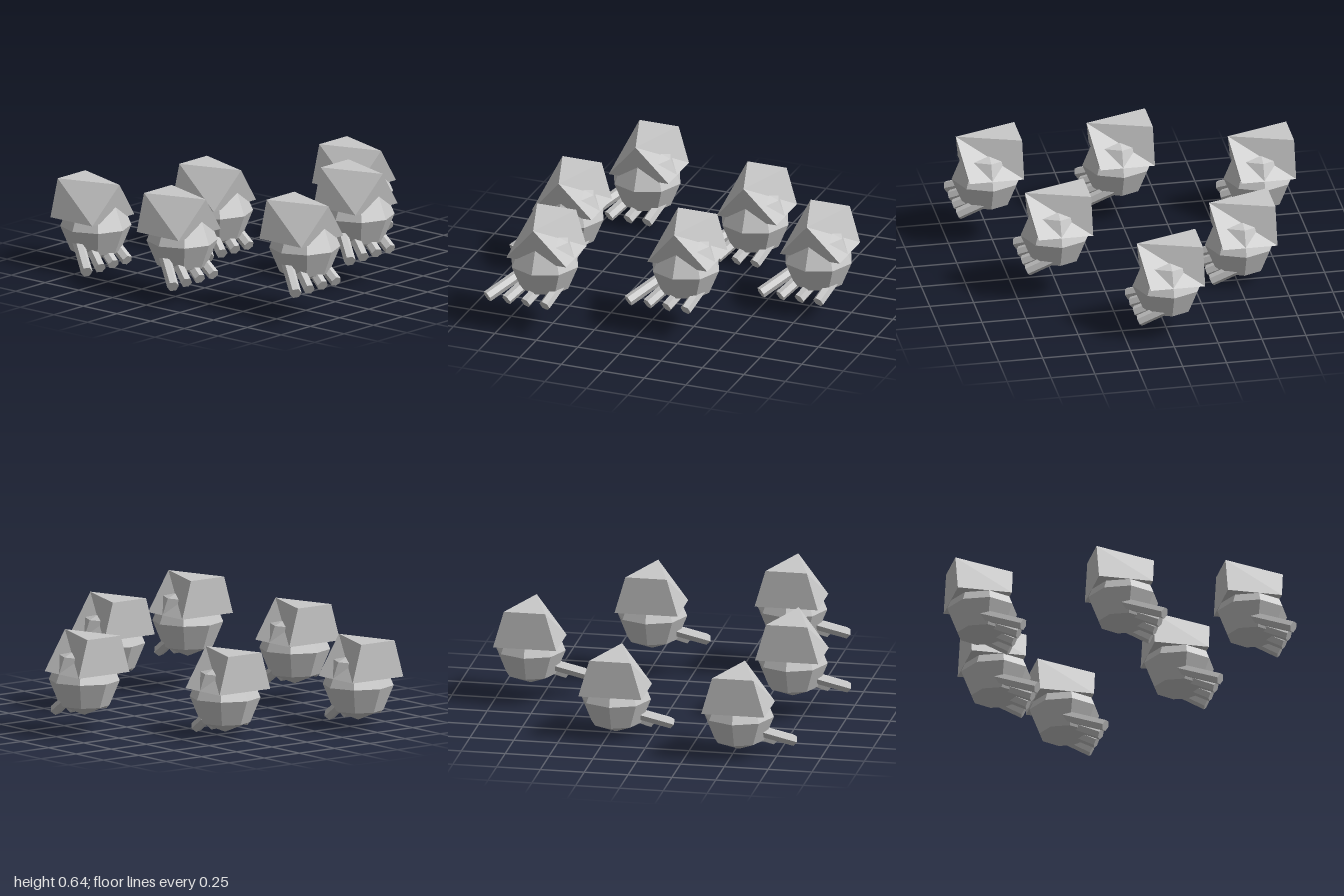
import * as THREE from 'three';

const grey = new THREE.MeshStandardMaterial({ color: 0xc9c9c9, flatShading: true });
grey.name = 'stone grey';

// Centre of each floating figure
const PLACES = [
  [-0.539, 0.239, -0.775], [0.211, 0.217, -0.525],
  [-0.694, 0.319, 0], [0.801, 0.304, 0],
  [0.211, 0.378, 0.525], [-0.539, 0.383, 0.775],
];

// Hood: a box whose top narrows to a point at the front
function hoodGeometry() {
  const geo = new THREE.BoxGeometry(2, 2, 2);
  const p = geo.attributes.position;
  for (let i = 0; i < p.count; i++) {
    const side = p.getX(i), top = p.getY(i) > 0, front = p.getZ(i) > 0;
    const x = side * (top ? (front ? 0 : 0.118) : 0.18);
    const z = front ? (top ? 0.176 : 0.13) : -0.18;
    p.setXYZ(i, x, top ? 0.263 : 0.05, z);
  }
  // Turn the diagonals of both side walls: folded in on +x, out on -x
  const index = Array.from(geo.index.array);
  for (const f of [0, 1]) {
    const o = f * 4;
    index.splice(f * 6, 6, o, o + 2, o + 3, o, o + 3, o + 1);
  }
  geo.setIndex(index);
  const flat = geo.toNonIndexed();
  flat.computeVertexNormals();
  return flat;
}

// Finger: a six-sided rod ending at its tip, fanned out and slanting down
function fingerGeometry(i) {
  const length = 0.27 - 0.037 * i;
  const yaw = THREE.MathUtils.degToRad(38 - 8 * i);
  const dir = new THREE.Vector3(-Math.tan(yaw), -0.55, 1).normalize();
  const turn = new THREE.Quaternion().setFromUnitVectors(new THREE.Vector3(0, 1, 0), dir);
  return new THREE.CylinderGeometry(0.033, 0.033, length, 6)
    .translate(0, -length / 2, 0)
    .applyQuaternion(turn)
    .translate(-0.277 + 0.115 * i, -0.187, 0.174);
}

function addMesh(parent, geo, name) {
  const mesh = new THREE.Mesh(geo, grey);
  mesh.name = name;
  parent.add(mesh);
}

export function createModel() {
  const model = new THREE.Group();
  model.name = 'floatingFigures';
  const body = new THREE.SphereGeometry(0.2, 8, 4);
  const hood = hoodGeometry();
  const fingers = [0, 1, 2, 3].map(fingerGeometry);

  PLACES.forEach((place, n) => {
    const figure = new THREE.Group();
    figure.name = 'figure' + (n + 1);
    figure.position.set(...place);
    addMesh(figure, body, 'body');
    addMesh(figure, hood, 'hood');
    fingers.forEach((geo, i) => addMesh(figure, geo, 'finger' + (i + 1)));
    model.add(figure);
  });
  return model;
}
